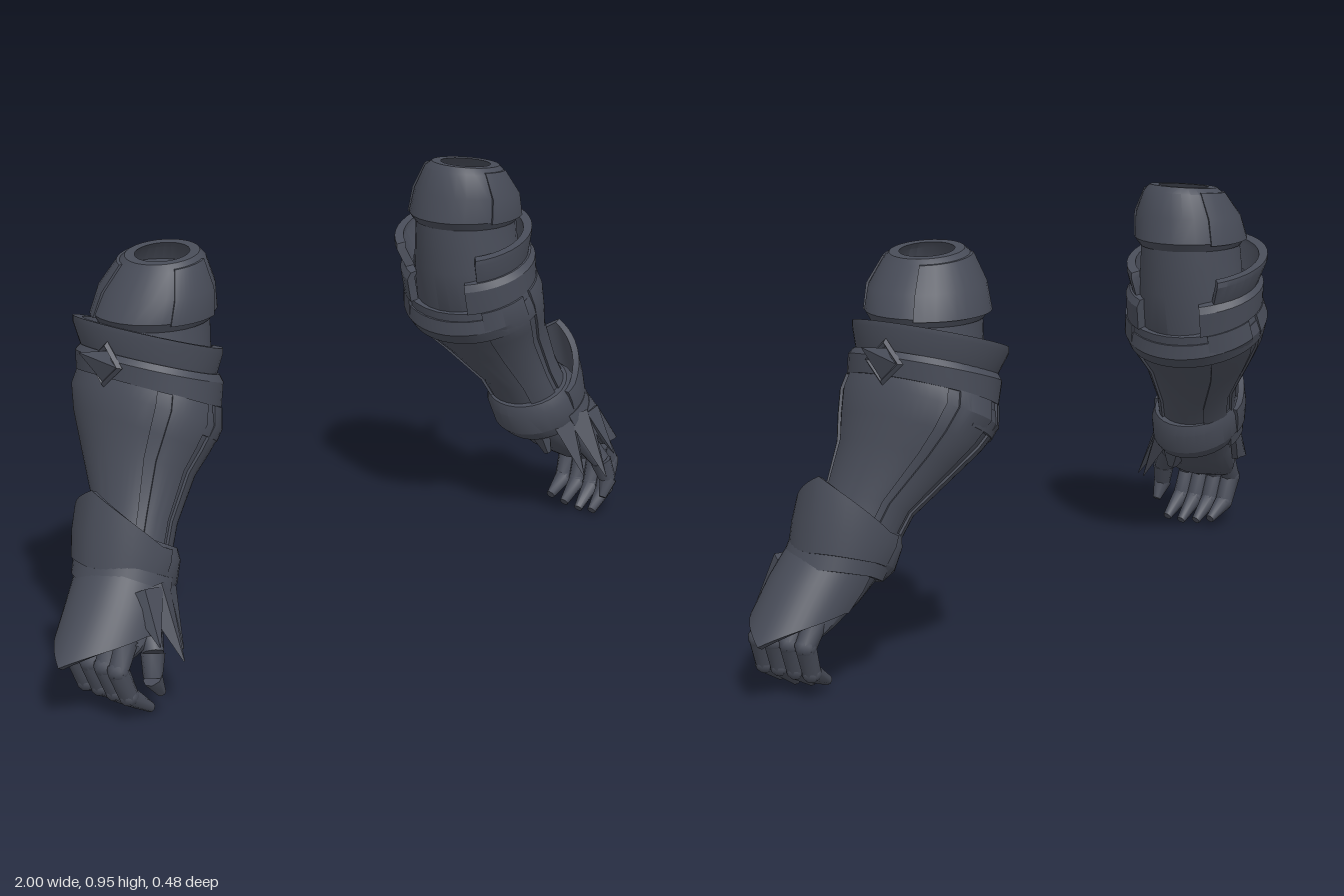
import * as THREE from 'three';
import { toCreasedNormals } from 'three/addons/utils/BufferGeometryUtils.js';

const D = Math.PI / 180;
const V = (x, y, z) => new THREE.Vector3(x, y, z);

// Curved plate with thickness. Rows run top to bottom: [x, y, z, radiusOut, radiusFront, tilt, bump(angle) -> [dx, dy, dz]].
// Angle 0 faces outward, 90 faces front, 180 faces the body.
function plate(rows, th, from = -180, to = 180, segs = 28) {
  const full = to - from >= 360, n = rows.length, m = n * 2, pos = [], idx = [];
  for (let j = 0; j <= segs; j++) {
    const deg = from + (to - from) * j / segs, a = deg * D;
    for (let i = 0; i < m; i++) {
      const inner = i >= n, r = rows[inner ? m - 1 - i : i];
      const ru = r[3] - (inner ? th : 0), rv = r[4] - (inner ? th : 0), t = r[5] || 0;
      const b = r[6] ? r[6](deg) : [0, 0, 0];
      pos.push(r[0] + Math.cos(t) * ru * Math.cos(a) + b[0],
        r[1] + Math.sin(t) * ru * Math.cos(a) + b[1], r[2] + rv * Math.sin(a) + b[2]);
    }
  }
  for (let j = 0; j < segs; j++) for (let i = 0; i < m; i++) {
    const k = (i + 1) % m, a = j * m, b = a + m;
    idx.push(a + i, b + i, a + k, b + i, b + k, a + k);
  }
  if (!full) for (let i = 0; i < n - 1; i++) {
    const o = i, o2 = i + 1, p = m - 1 - i, p2 = m - 2 - i, e = segs * m;
    idx.push(o, o2, p, o2, p2, p, e + o, e + p, e + o2, e + o2, e + p, e + p2);
  }
  const g = new THREE.BufferGeometry();
  g.setAttribute('position', new THREE.Float32BufferAttribute(pos, 3));
  g.setIndex(idx);
  return g;
}

// Tapered prism between two points, optionally flattened across z.
function limb(p, q, r0, r1, sides = 8, flat = 1) {
  const d = q.clone().sub(p), g = new THREE.CylinderGeometry(r1, r0, d.length(), sides);
  g.scale(1, 1, flat);
  g.applyQuaternion(new THREE.Quaternion().setFromUnitVectors(V(0, 1, 0), d.clone().normalize()));
  const c = p.clone().add(q).multiplyScalar(0.5);
  return g.translate(c.x, c.y, c.z);
}

// Pointed edge: strongest at angle 0, fading out at the given half width
const point = (dx, dy, half) => (deg) => {
  const k = Math.max(0, 1 - Math.abs(deg) / half);
  return [dx * k, dy * k, 0];
};

export function createModel() {
  const model = new THREE.Group();
  model.name = 'armouredArms';
  const steel = new THREE.MeshStandardMaterial({ color: 0x484c58 });
  steel.name = 'dark steel';
  const arms = { 1: new THREE.Group(), [-1]: new THREE.Group() };
  arms[1].name = 'leftArm';
  arms[-1].name = 'rightArm';
  model.add(arms[1], arms[-1]);

  // Adds a part to the left arm and its mirror image to the right arm
  function add(name, geo, crease = 0.5) {
    for (const s of [1, -1]) {
      const g = geo.index ? geo.toNonIndexed() : geo.clone();
      g.deleteAttribute('uv');
      g.deleteAttribute('normal');
      if (s < 0) {
        const p = g.attributes.position, v = V(), w = V();
        for (let i = 0; i < p.count; i += 3) {
          p.setX(i, -p.getX(i));
          v.fromBufferAttribute(p, i + 1);
          w.fromBufferAttribute(p, i + 2);
          p.setXYZ(i + 1, -w.x, w.y, w.z);
          p.setXYZ(i + 2, -v.x, v.y, v.z);
        }
      }
      g.computeVertexNormals();
      const mesh = new THREE.Mesh(toCreasedNormals(g, crease), steel);
      mesh.name = name;
      arms[s].add(mesh);
    }
  }

  // Upper arm cuff with an open top
  add('upperCuff', plate([
    [0.535, 0.945, -0.035, 0.083, 0.083, -0.1], [0.535, 0.93, -0.037, 0.096, 0.1, -0.1],
    [0.545, 0.875, -0.04, 0.126, 0.127, -0.05], [0.55, 0.82, -0.046, 0.143, 0.134, 0],
    [0.552, 0.8, -0.046, 0.13, 0.122, 0]], 0.022));
  add('cuffFloor', new THREE.CylinderGeometry(0.09, 0.09, 0.02, 24).translate(0.54, 0.895, -0.038));
  for (const [from, to] of [[60, 112], [-125, -25]]) add('cuffPanel', plate([
    [0.535, 0.935, -0.037, 0.099, 0.1, -0.1], [0.545, 0.875, -0.04, 0.132, 0.132, -0.05],
    [0.55, 0.815, -0.046, 0.148, 0.138, 0]], 0.012, from, to, 10));
  add('elbowSleeve', plate([
    [0.552, 0.82, -0.046, 0.128, 0.118], [0.558, 0.7, -0.046, 0.13, 0.128, 0.1],
    [0.58, 0.6, -0.045, 0.13, 0.15, 0.35], [0.635, 0.5, -0.025, 0.1, 0.12, 0.5],
    [0.69, 0.4, 0.015, 0.078, 0.09, 0.5], [0.745, 0.29, 0.045, 0.075, 0.09, 0.5]], 0.06));

  // Flared collar, open towards the body, with a band under it
  add('collar', plate([
    [0.56, 0.765, -0.06, 0.15, 0.184, 0.33], [0.56, 0.752, -0.06, 0.152, 0.183, 0.33],
    [0.565, 0.70, -0.053, 0.137, 0.165, 0.33]], 0.022, -138, 138, 32));
  add('elbowBand', plate([
    [0.565, 0.705, -0.05, 0.143, 0.168, 0.33], [0.567, 0.69, -0.05, 0.152, 0.179, 0.33],
    [0.573, 0.64, -0.047, 0.15, 0.178, 0.4]], 0.02, -150, 150, 32));

  // Diamond frame and spike on the collar
  const frame = new THREE.TorusGeometry(0.042, 0.009, 4, 4).rotateY(Math.PI / 2).rotateZ(0.15);
  add('diamondFrame', frame.translate(0.708, 0.727, -0.045), 0.3);
  add('collarSpike', limb(V(0.695, 0.718, -0.045), V(0.787, 0.772, -0.045), 0.038, 0.001, 4), 0.2);

  // Forearm shell, raised outer plate and sweeping ridges
  const fore = (o) => [
    [0.572, 0.64, -0.046, 0.14 + o, 0.176 + o, 0.42], [0.583, 0.6, -0.045, 0.148 + o, 0.184 + o, 0.48],
    [0.61, 0.55, -0.037, 0.132 + o, 0.166 + o, 0.5], [0.637, 0.5, -0.025, 0.112 + o, 0.14 + o, 0.5],
    [0.69, 0.4, 0.015, 0.085 + o, 0.1 + o, 0.5], [0.73, 0.32, 0.035, 0.082 + o, 0.095 + o, 0.5]];
  add('forearmShell', plate(fore(0), 0.018));
  add('forearmOuterPlate', plate(fore(0.006), 0.01, -48, 42, 14));
  for (const [from, to] of [[54, 88], [98, 140], [-92, -58], [-145, -104]])
    add('forearmRidge', plate(fore(0.006), 0.01, from, to, 7));
  add('elbowRim', plate([
    [0.575, 0.625, -0.046, 0.145, 0.18, 0.45], [0.583, 0.6, -0.045, 0.157, 0.187, 0.48],
    [0.594, 0.575, -0.042, 0.149, 0.182, 0.5]], 0.018, 75, 285));

  // Wrist ring and the tall pointed guard over it
  add('wristRing', plate([
    [0.712, 0.355, 0.033, 0.092, 0.108, 0.5], [0.722, 0.335, 0.037, 0.106, 0.117, 0.5],
    [0.745, 0.29, 0.044, 0.112, 0.118, 0.5], [0.757, 0.265, 0.05, 0.098, 0.105, 0.5]], 0.03));
  add('wristGuard', plate([
    [0.728, 0.355, 0.035, 0.118, 0.123, 0.45, point(0.005, 0.085, 80)],
    [0.738, 0.33, 0.038, 0.12, 0.125, 0.45, point(0.012, 0.02, 80)],
    [0.756, 0.29, 0.043, 0.118, 0.117, 0.45, point(0.006, -0.015, 80)]], 0.016, -95, 95, 24));
  add('wristLowerBand', plate([
    [0.75, 0.3, 0.045, 0.118, 0.118, 0.45], [0.768, 0.262, 0.055, 0.114, 0.118, 0.45,
      point(0.01, -0.02, 80)]], 0.016, -105, 105, 24));

  // Pointed plate over the back of the hand, with side scales
  add('handPlate', plate([
    [0.765, 0.275, 0.058, 0.108, 0.112, 0.5], [0.79, 0.235, 0.07, 0.106, 0.115, 0.5, point(0.03, -0.025, 85)],
    [0.822, 0.192, 0.082, 0.1, 0.112, 0.5, point(0.09, -0.098, 85)]], 0.016, -88, 88, 24), 0.35);
  add('palm', plate([
    [0.75, 0.28, 0.05, 0.085, 0.1, 0.5], [0.79, 0.22, 0.075, 0.07, 0.1, 0.5],
    [0.85, 0.17, 0.09, 0.05, 0.095, 0.6], [0.87, 0.145, 0.092, 0.025, 0.08, 0.6]], 0.024, -180, 180, 20));

  // Four curled fingers, each of three segments with a knuckle ring
  [[0.155, 0.172, 0], [0.115, 0.13, -0.004], [0.072, 0.085, 0.002], [0.028, 0.042, 0.012]].forEach(([z0, z1, up]) => {
    const path = [V(0.862, 0.185, z0), V(0.897, 0.125, (z0 * 2 + z1) / 3),
      V(0.872, 0.06, (z0 + z1 * 2) / 3), V(0.81, 0.014 + up, z1)];
    for (let i = 0; i < 3; i++) {
      add('fingerSegment', limb(path[i], path[i + 1], 0.0265 - i * 0.002, [0.024, 0.022, 0.011][i]), 0.9);
      if (i) add('knuckle', new THREE.IcosahedronGeometry(0.027 - i * 0.002, 1)
        .translate(path[i].x, path[i].y, path[i].z), 0.9);
    }
  });

  // Thumb and its pointed guards
  const thumb = [V(0.785, 0.22, 0.145), V(0.82, 0.15, 0.19), V(0.835, 0.1, 0.203), V(0.81, 0.058, 0.205)];
  for (let i = 0; i < 3; i++)
    add('thumbSegment', limb(thumb[i], thumb[i + 1], 0.031 - i * 0.004, [0.025, 0.021, 0.01][i]), 0.9);
  add('thumbGuard', limb(V(0.735, 0.275, 0.13), V(0.735, 0.135, 0.2), 0.05, 0.002, 4, 0.6), 0.2);
  add('thumbGuard', limb(V(0.775, 0.28, 0.15), V(0.775, 0.13, 0.24), 0.05, 0.002, 4, 0.6), 0.2);
  add('thumbGuard', limb(V(0.81, 0.28, 0.155), V(0.83, 0.175, 0.222), 0.045, 0.002, 4, 0.6), 0.2);
  add('palmGuard', limb(V(0.70, 0.27, 0.07), V(0.715, 0.18, 0.1), 0.055, 0.012, 5, 0.7), 0.2);
  return model;
}
